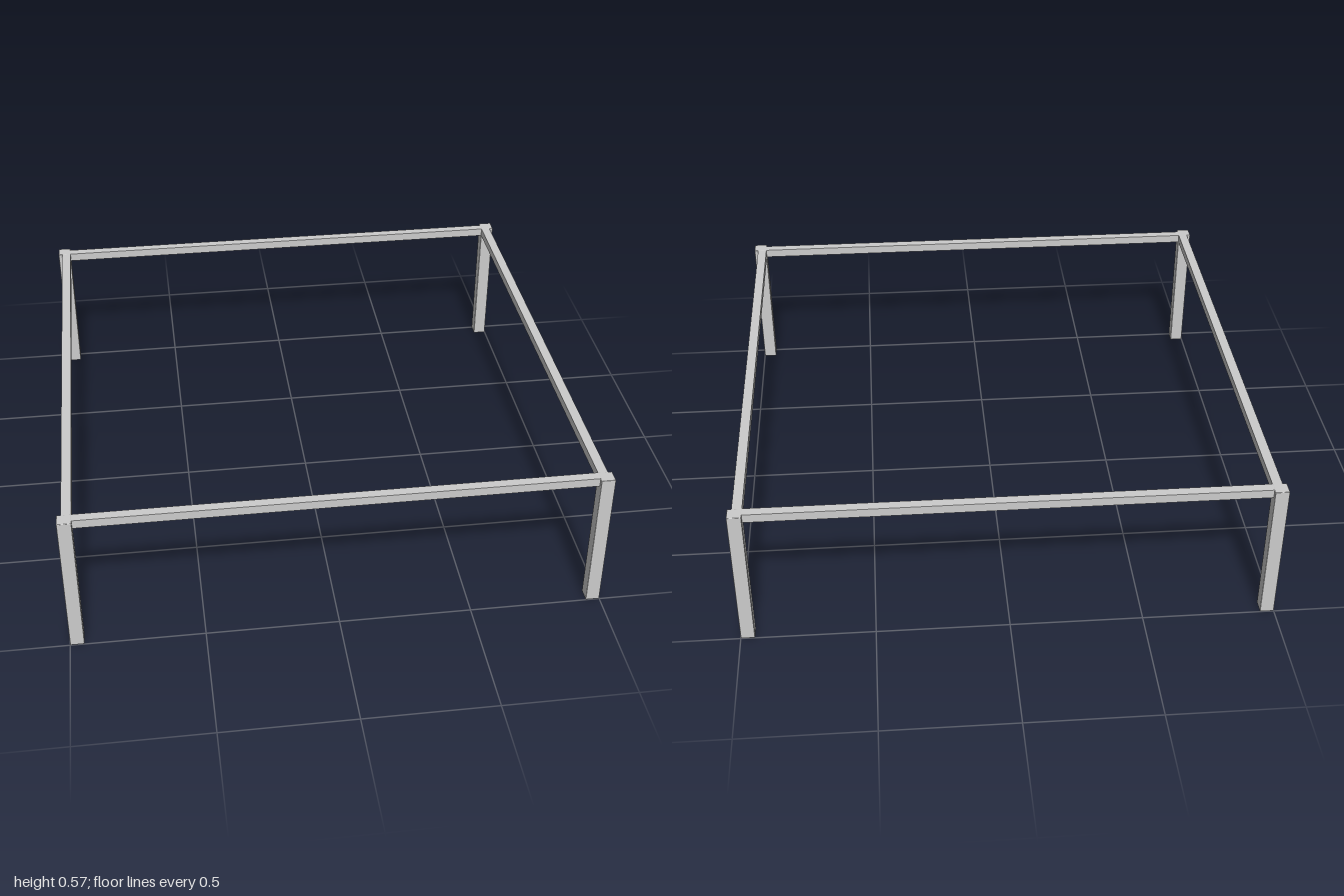
import * as THREE from 'three';
import { RoundedBoxGeometry } from 'three/addons/geometries/RoundedBoxGeometry.js';

const HEIGHT = 0.567;
const LEG = 0.053; // leg thickness
const RAIL_W = 0.037;
const RAIL_H = 0.034;

export function createModel() {
  const model = new THREE.Group();
  model.name = 'tableFrame';
  const material = new THREE.MeshStandardMaterial({ color: 0xcccccc });

  const add = (name, geometry, x, y, z) => {
    const mesh = new THREE.Mesh(geometry, material);
    mesh.name = name;
    mesh.position.set(x, y, z);
    model.add(mesh);
    return mesh;
  };

  // Square legs with slightly softened edges, one at each corner
  const legGeometry = new RoundedBoxGeometry(LEG, HEIGHT, LEG, 2, 0.003);
  const legPos = 1 - LEG / 2;
  for (const [sx, side] of [[1, 'Left'], [-1, 'Right']]) {
    for (const [sz, end] of [[1, 'front'], [-1, 'back']]) {
      add(`${end}${side}Leg`, legGeometry, sx * legPos, HEIGHT / 2, sz * legPos);
    }
  }

  // Rails between the legs, flush with their tops and inner faces
  const railGeometry = new THREE.BoxGeometry(2 - 2 * LEG + 0.01, RAIL_H, RAIL_W);
  const railPos = 1 - LEG + RAIL_W / 2;
  const railY = HEIGHT - RAIL_H / 2 - 0.0005;
  add('frontRail', railGeometry, 0, railY, railPos);
  add('backRail', railGeometry, 0, railY, -railPos);
  add('leftRail', railGeometry, railPos, railY, 0).rotation.y = Math.PI / 2;
  add('rightRail', railGeometry, -railPos, railY, 0).rotation.y = Math.PI / 2;

  return model;
}
